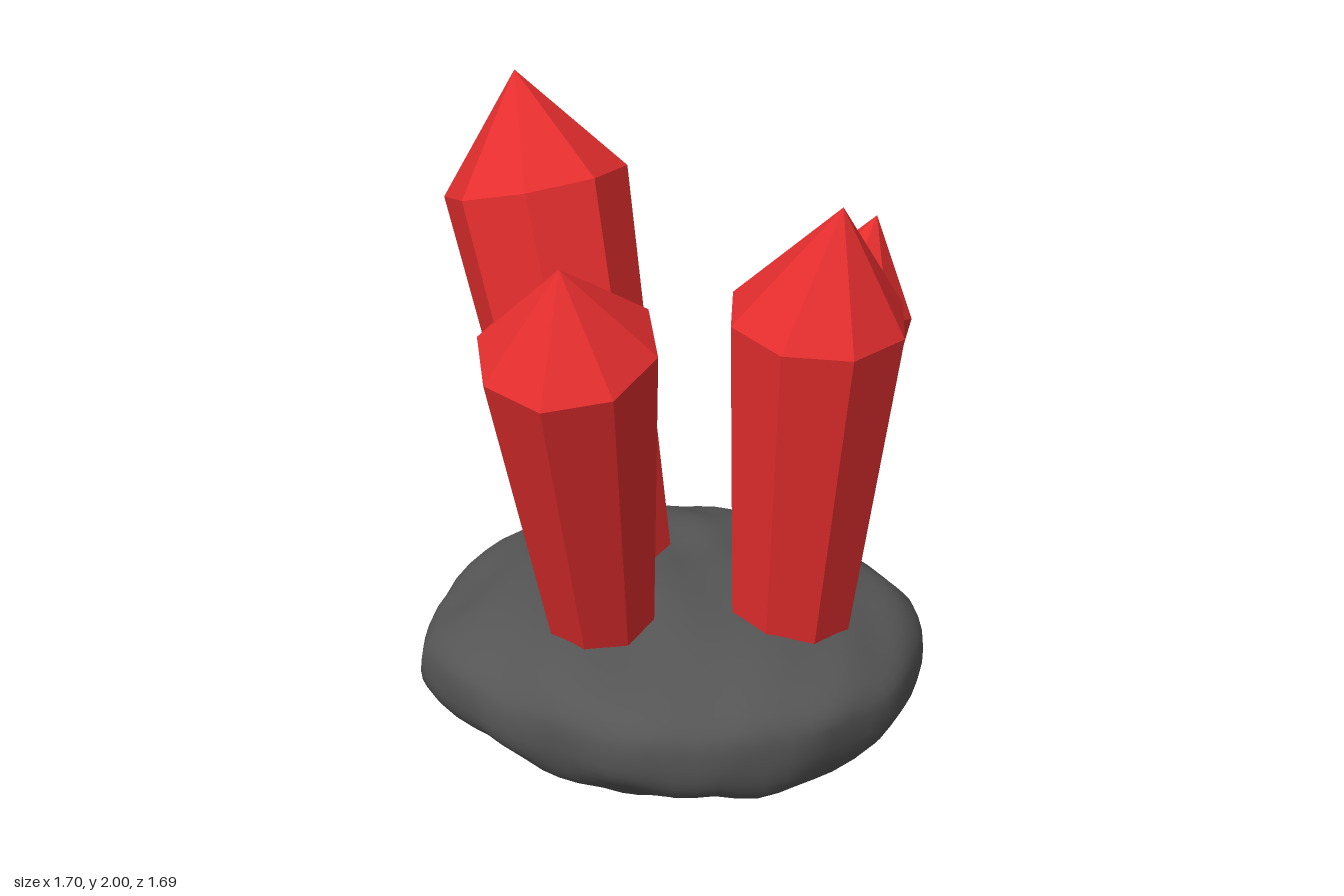
import * as THREE from 'three';
import { mergeVertices } from 'three/addons/utils/BufferGeometryUtils.js';

const SIDES = 8;

// Eight-sided crystal: a leaning, flaring shaft and an off-centre point.
// base, shoulder and tip are [x, y, z]; rings lie square to the shaft axis.
function crystal(name, { base, rBase, shoulder, rShoulder, tip, spin }, material) {
  const b = new THREE.Vector3(...base);
  const s = new THREE.Vector3(...shoulder);
  const t = new THREE.Vector3(...tip);
  const axis = s.clone().sub(b);
  const ring = (k) => {
    const c = b.clone().addScaledVector(axis, k);
    const r = THREE.MathUtils.lerp(rBase, rShoulder, k);
    return Array.from({ length: SIDES }, (_, i) => {
      const a = THREE.MathUtils.degToRad(spin + (i * 360) / SIDES);
      const dx = r * Math.cos(a), dz = r * Math.sin(a);
      const dy = -(axis.x * dx + axis.z * dz) / axis.y;
      return new THREE.Vector3(c.x + dx, c.y + dy, c.z + dz);
    });
  };
  const low = ring(-0.15); // root is sunk into the rock
  const high = ring(1);
  const root = b.clone().addScaledVector(axis, -0.15);
  const points = [];
  for (let i = 0; i < SIDES; i++) {
    const j = (i + 1) % SIDES;
    points.push(low[i], high[i], high[j], low[i], high[j], low[j]); // shaft
    points.push(high[i], t, high[j]); // point
    points.push(low[i], low[j], root); // underside
  }
  const geometry = new THREE.BufferGeometry().setFromPoints(points);
  geometry.computeVertexNormals();
  const mesh = new THREE.Mesh(geometry, material);
  mesh.name = name;
  return mesh;
}

// Rock outline radii seen from above, every 22.5 degrees from +x towards +z
const OUTLINE = [0.77, 0.74, 0.70, 0.70, 0.69, 0.71, 0.80, 0.75, 0.76, 0.73, 0.71, 0.68, 0.67, 0.71, 0.77, 0.76];

function outlineRadius(angle) {
  const n = OUTLINE.length;
  const u = ((angle / (2 * Math.PI)) * n + n) % n;
  const i = Math.floor(u) % n;
  return THREE.MathUtils.lerp(OUTLINE[i], OUTLINE[(i + 1) % n], u - Math.floor(u));
}

// Flattened, lumpy boulder made by reshaping a sphere
function rock(material) {
  let geometry = new THREE.SphereGeometry(1, 64, 40);
  geometry.deleteAttribute('uv');
  geometry.deleteAttribute('normal');
  geometry = mergeVertices(geometry, 1e-4);
  const p = geometry.attributes.position;
  for (let i = 0; i < p.count; i++) {
    const x = p.getX(i), y = p.getY(i), z = p.getZ(i);
    const r = outlineRadius(Math.atan2(z, x));
    const lump =
      Math.sin(5.1 * x + 2.3 * y + 1.0) * Math.sin(4.7 * z - 3.1 * y + 0.4) +
      0.8 * Math.sin(10.3 * x - 4.0 * z + 2.0) * Math.sin(9.1 * z + 7.0 * y);
    // The underside bulges lowest towards the front left
    const bulge = 1 + 0.1 * Math.max(0, x + z) * Math.hypot(x, z);
    const height = y > 0 ? 0.235 * Math.pow(y, 0.75) : -0.315 * bulge * Math.pow(-y, 0.85);
    const swell = 1 + 0.014 * lump;
    p.setXYZ(i, 0.07 + x * r * swell, 0.325 + height * (1 + 0.05 * lump), z * r * swell);
  }
  geometry.computeBoundingBox();
  geometry.translate(0, -geometry.boundingBox.min.y, 0);
  geometry.computeVertexNormals();
  const mesh = new THREE.Mesh(geometry, material);
  mesh.name = 'rockBase';
  return mesh;
}

export function createModel() {
  const group = new THREE.Group();
  group.name = 'crystalCluster';
  const red = new THREE.MeshStandardMaterial({ color: 0xe62e2e });
  const stone = new THREE.MeshStandardMaterial({ color: 0x555555 });

  group.add(rock(stone));

  const crystals = {
    rightCrystal: {
      base: [-0.23, 0.53, -0.05], rBase: 0.2,
      shoulder: [-0.58, 1.665, -0.175], rShoulder: 0.285,
      tip: [-0.67, 2, -0.2], spin: 14,
    },
    frontCrystal: {
      base: [0, 0.52, 0.3], rBase: 0.165,
      shoulder: [0.11, 1.585, 0.6], rShoulder: 0.26,
      tip: [0.14, 1.85, 0.67], spin: 25,
    },
    leftCrystal: {
      base: [0.445, 0.52, -0.07], rBase: 0.19,
      shoulder: [0.54, 1.56, -0.02], rShoulder: 0.265,
      tip: [0.615, 1.91, -0.015], spin: -9,
    },
    backCrystal: {
      base: [0.215, 0.52, -0.43], rBase: 0.165,
      shoulder: [0.26, 1.29, -0.65], rShoulder: 0.21,
      tip: [0.32, 1.575, -0.725], spin: 20,
    },
  };
  for (const [name, spec] of Object.entries(crystals)) group.add(crystal(name, spec, red));

  return group;
}
